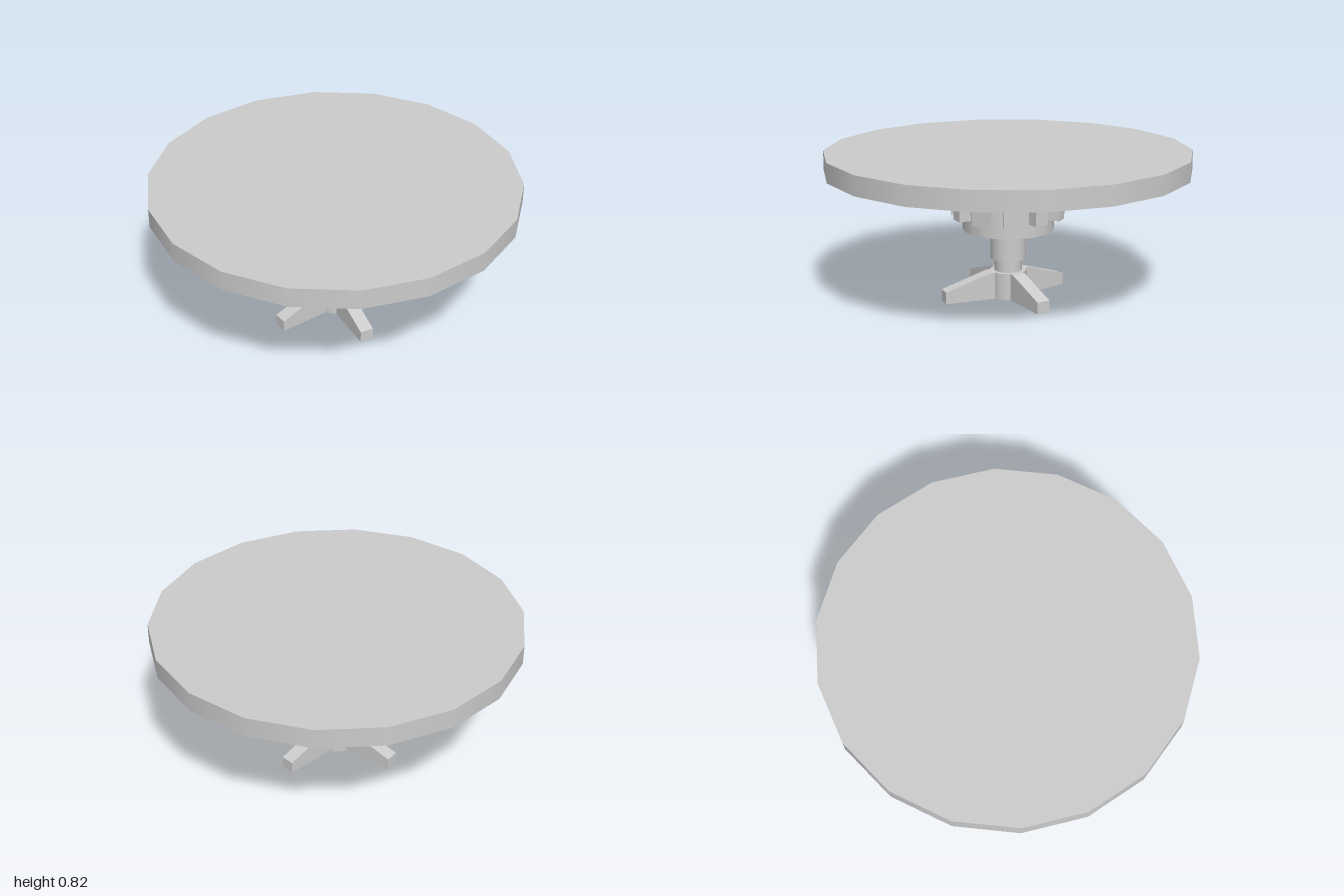
import * as THREE from 'three';

export function createModel() {
  const model = new THREE.Group();
  const material = new THREE.MeshStandardMaterial({ color: 0xcccccc });

  const add = (name, geometry) => {
    const mesh = new THREE.Mesh(geometry, material);
    mesh.name = name;
    model.add(mesh);
    return mesh;
  };

  // Upright round part between two heights, with a corner on the x axis
  const round = (name, y0, y1, rBottom, rTop = rBottom, sides = 18) => {
    const g = new THREE.CylinderGeometry(rTop, rBottom, y1 - y0, sides);
    g.rotateY(Math.PI / 2);
    add(name, g.translate(0, (y0 + y1) / 2, 0));
  };

  // Radial plate: outline drawn as (radius, height), turned to an azimuth from +z
  const radial = (name, outline, width, degrees) => {
    const shape = new THREE.Shape(outline.map(([r, y]) => new THREE.Vector2(r, y)));
    const g = new THREE.ExtrudeGeometry(shape, { depth: width, bevelEnabled: false });
    g.translate(0, 0, -width / 2);
    add(name, g).rotation.y = THREE.MathUtils.degToRad(degrees - 90);
  };

  // Table top
  round('tableTop', 0.712, 0.82, 1);

  // Stepped column and foot hub
  round('footHub', 0, 0.15, 0.1);
  round('lowerColumn', 0.14, 0.22, 0.075);
  round('upperColumn', 0.218, 0.39, 0.098);

  // Waisted drum under the top
  round('drum', 0.385, 0.54, 0.25);
  round('drumShoulder', 0.54, 0.62, 0.25, 0.19);
  round('drumFlare', 0.62, 0.715, 0.19, 0.245);

  // Ribs around the drum
  const ribOutline = [
    [0.15, 0.46], [0.311, 0.46], [0.311, 0.552],
    [0.235, 0.622], [0.295, 0.715], [0.15, 0.715],
  ];
  const ribs = 11;
  for (let i = 0; i < ribs; i++) radial('rib', ribOutline, 0.076, 180 + (i * 360) / ribs);

  // Four sloping feet, unevenly spread
  const footOutline = [[0, 0], [0.375, 0], [0.375, 0.065], [0.115, 0.15], [0, 0.15]];
  for (const degrees of [10.5, 109.5, 209.5, 289.5]) radial('foot', footOutline, 0.075, degrees);

  return model;
}
